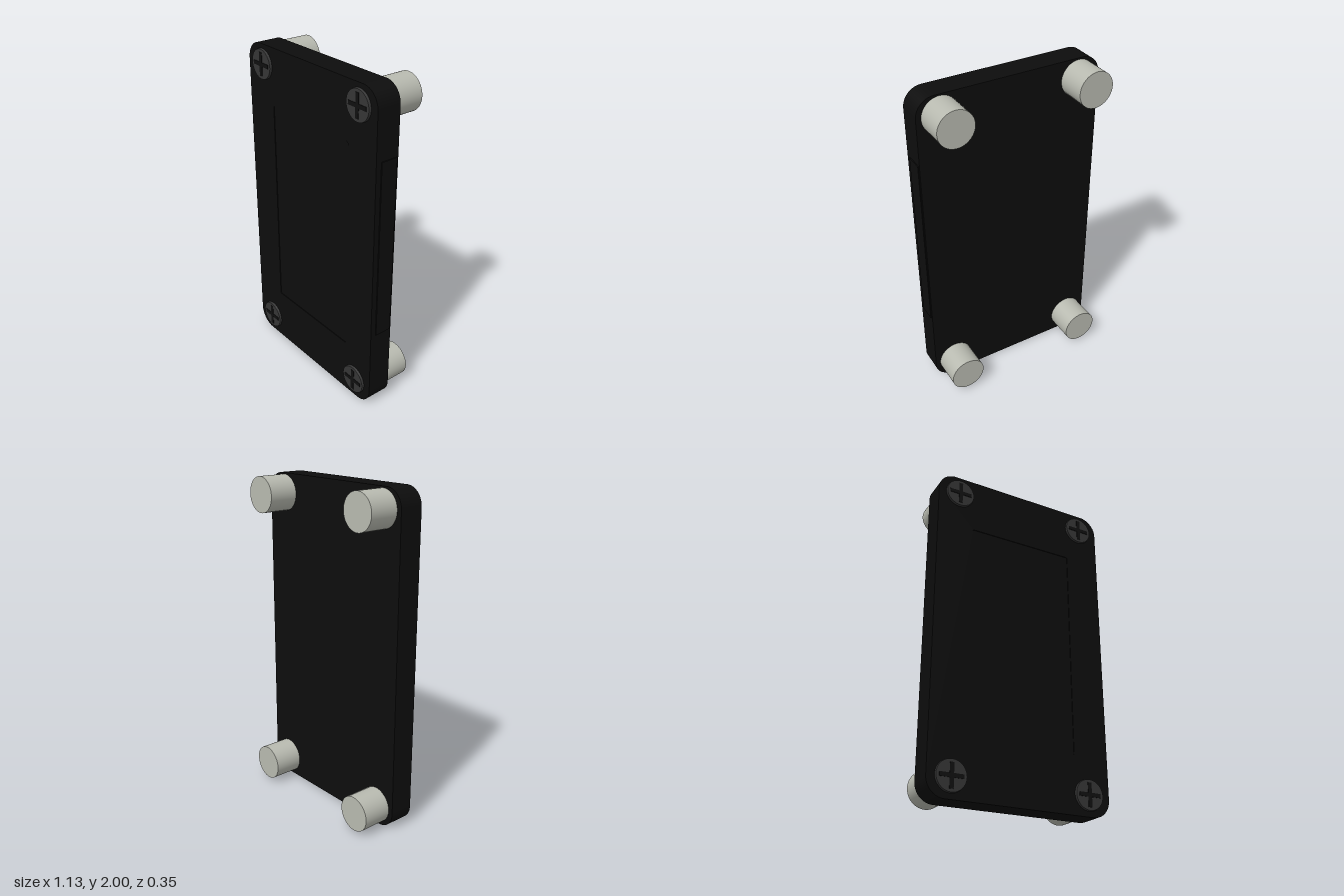
import * as THREE from 'three';

const material = (name, color) => new THREE.MeshStandardMaterial({ name, color });

// Rounded rectangle traced around (cx, cy)
function roundedRect(target, cx, cy, w, h, r) {
  const x = w / 2 - r, y = h / 2 - r;
  target.absarc(cx + x, cy + y, r, 0, Math.PI / 2);
  target.absarc(cx - x, cy + y, r, Math.PI / 2, Math.PI);
  target.absarc(cx - x, cy - y, r, Math.PI, Math.PI * 1.5);
  target.absarc(cx + x, cy - y, r, Math.PI * 1.5, Math.PI * 2);
  target.closePath();
  return target;
}

export function createModel() {
  const model = new THREE.Group();
  const casing = material('black casing', 0x0d0d0d);
  const screwMetal = material('dark screw', 0x363636);
  const slotBlack = material('slot black', 0x101010);
  const steel = material('pale steel', 0xb8bab0);

  const add = (parent, name, geometry, mat, x = 0, y = 0, z = 0) => {
    const mesh = new THREE.Mesh(geometry, mat);
    mesh.name = name;
    mesh.position.set(x, y, z);
    parent.add(mesh);
    return mesh;
  };
  const slab = (shape, depth) =>
    new THREE.ExtrudeGeometry(shape, { depth, bevelEnabled: false, curveSegments: 16 });
  const outline = () => roundedRect(new THREE.Shape(), -0.003, 1, 1.125, 2, 0.11);

  // Main plate, with a shallow recessed panel framed on the front
  add(model, 'plate', slab(outline(), 0.146), casing, 0, 0, 0.005);
  const frame = outline();
  frame.holes.push(roundedRect(new THREE.Path(), 0, 1, 0.67, 1.31, 0.01));
  add(model, 'frontFrame', slab(frame, 0.004), casing, 0, 0, 0.151);

  // Thin strip on the left edge
  add(model, 'sideStrip', new THREE.BoxGeometry(0.01, 1.09, 0.105), casing, 0.56, 1.065, 0.068);

  // Corner fixings: standoff behind, cross-head screw in front
  const standoff = new THREE.CylinderGeometry(0.108, 0.108, 0.18, 48).rotateX(Math.PI / 2);
  const head = new THREE.CylinderGeometry(0.088, 0.09, 0.014, 40).rotateX(Math.PI / 2);
  for (const x of [-0.428, 0.421]) {
    for (const y of [0.123, 1.883]) {
      const fixing = new THREE.Group();
      fixing.name = 'cornerFixing';
      fixing.position.set(x, y, 0);
      model.add(fixing);
      add(fixing, 'standoff', standoff, steel, 0, 0, -0.085);
      add(fixing, 'screwHead', head, screwMetal, 0, 0, 0.162);
      add(fixing, 'slotAcross', new THREE.BoxGeometry(0.14, 0.024, 0.004), slotBlack, 0, 0, 0.17);
      for (const side of [-1, 1]) {
        add(fixing, 'slotUpright', new THREE.BoxGeometry(0.024, 0.058, 0.004), slotBlack, 0, side * 0.041, 0.17);
      }
    }
  }
  return model;
}
